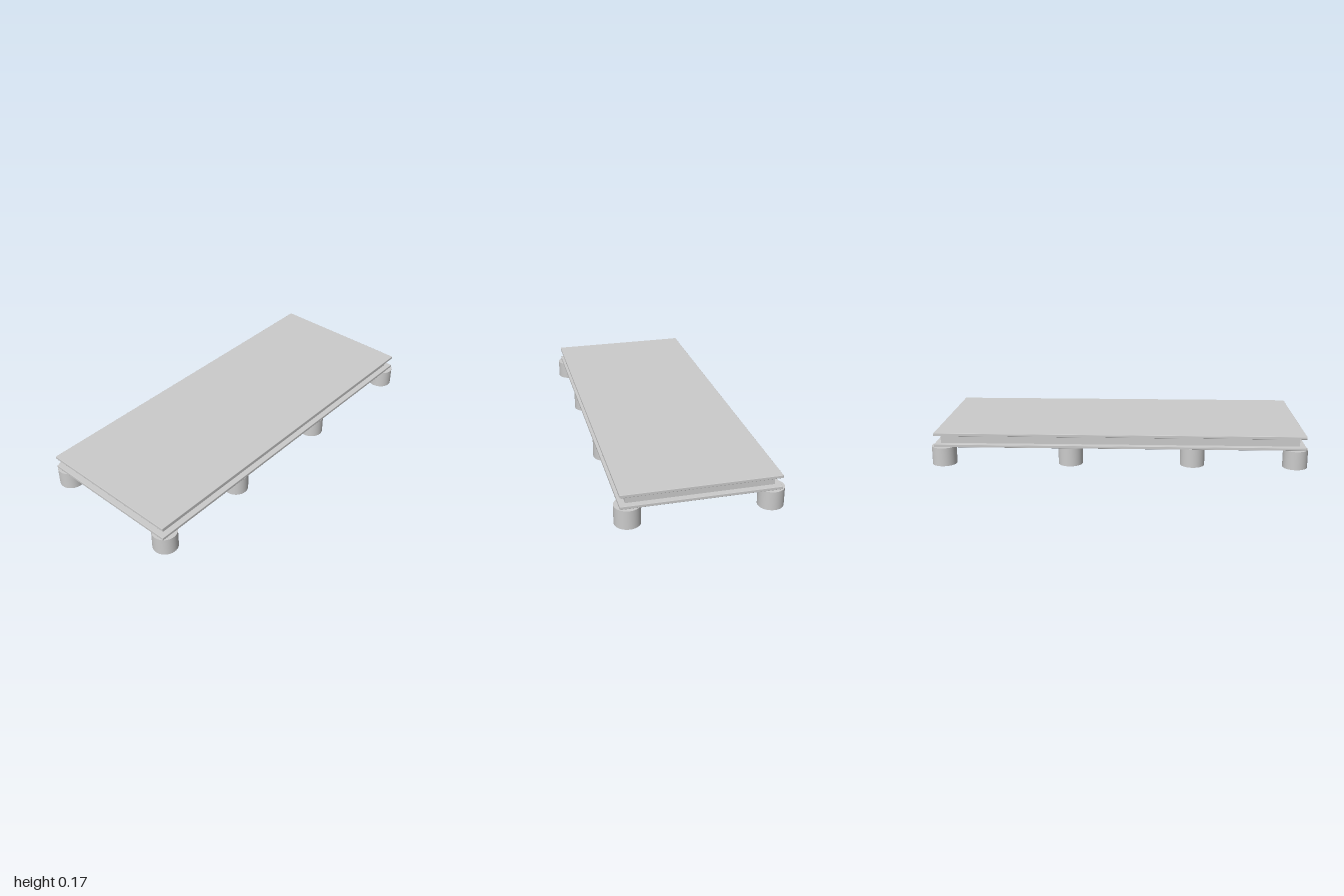
import * as THREE from 'three';
import { RoundedBoxGeometry } from 'three/addons/geometries/RoundedBoxGeometry.js';

export function createModel() {
  const group = new THREE.Group();
  const material = new THREE.MeshStandardMaterial({ color: 0xcccccc });

  function add(name, geometry, x, y, z) {
    const mesh = new THREE.Mesh(geometry, material);
    mesh.name = name;
    mesh.position.set(x, y, z);
    group.add(mesh);
  }

  // Two thin boards with softened edges, separated by a recessed core
  const cx = -0.003, cz = 0.001;
  const board = new RoundedBoxGeometry(1.967, 0.015, 0.794, 2, 0.002);
  add('bottomBoard', board, cx, 0.1065, cz);
  add('core', new THREE.BoxGeometry(1.905, 0.048, 0.733), cx, 0.1375, cz);
  add('topBoard', board, cx, 0.1675, cz);

  // Four round feet along each long side; the inner ones sit slightly inward
  const foot = new THREE.CylinderGeometry(0.065, 0.065, 0.099, 48);
  const feet = [
    [-0.935, 0.355, 'cornerFoot'],
    [-0.393, 0.333, 'middleFoot'],
    [0.258, 0.333, 'middleFoot'],
    [0.935, 0.355, 'cornerFoot'],
  ];
  for (const [x, z, name] of feet) {
    for (const side of [1, -1]) add(name, foot, x, 0.0495, side * z);
  }

  return group;
}
